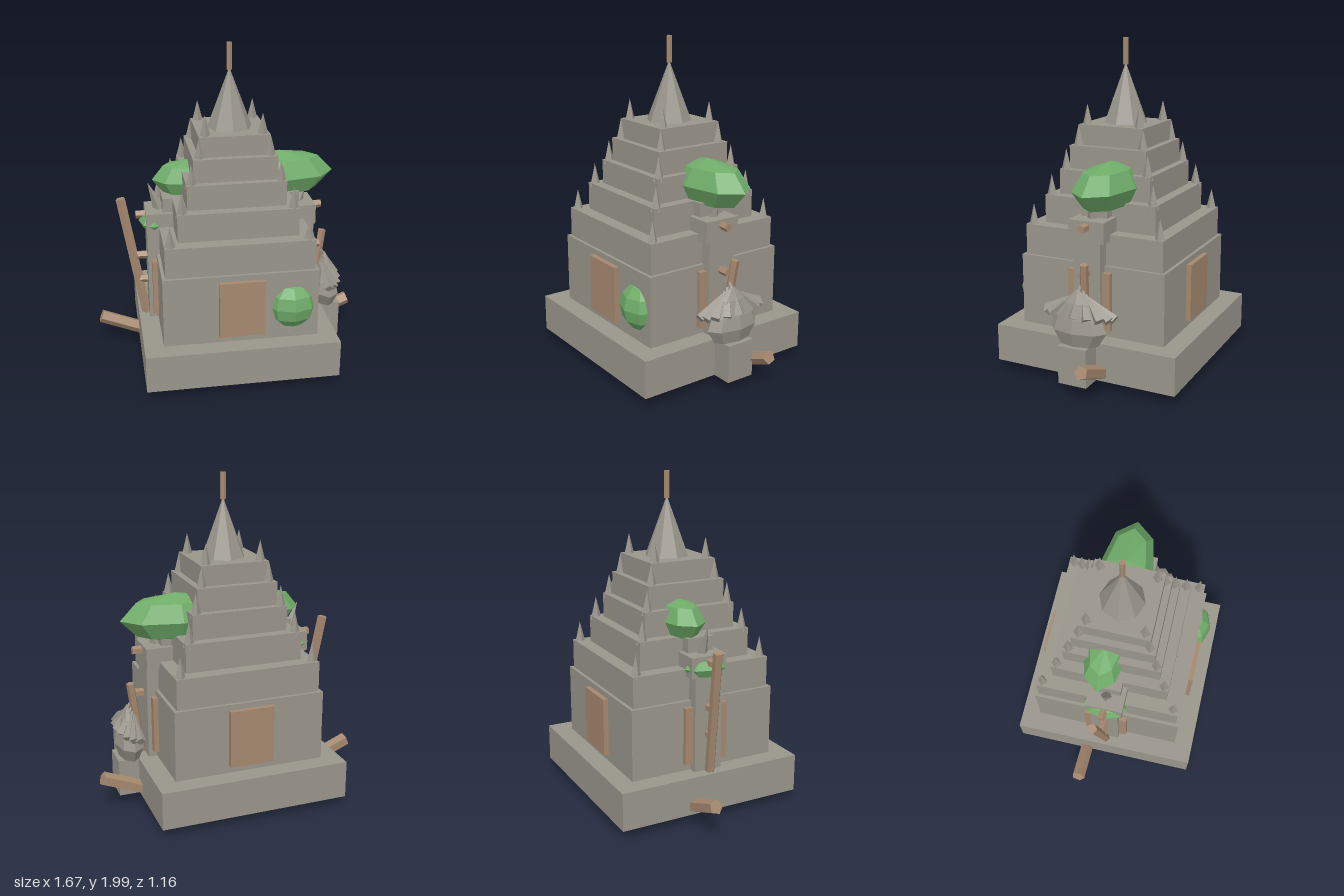
import * as THREE from 'three';

export function createModel() {
  const root = new THREE.Group();
  root.name = 'ruinedTemple';
  const mat = (name, color) => {
    const m = new THREE.MeshStandardMaterial({ color, flatShading: true });
    m.name = name;
    return m;
  };
  const stone = mat('stone', 0x99958b);
  const wood = mat('wood', 0xa5886f);
  const leaf = mat('leaf', 0x6fac69);

  const add = (name, geo, material, x = 0, y = 0, z = 0) => {
    const m = new THREE.Mesh(geo, material);
    m.name = name;
    m.position.set(x, y, z);
    root.add(m);
    return m;
  };
  // Box given by its lower and upper corners
  const box = (name, material, a, b) => add(name,
    new THREE.BoxGeometry(b[0] - a[0], b[1] - a[1], b[2] - a[2]), material,
    (a[0] + b[0]) / 2, (a[1] + b[1]) / 2, (a[2] + b[2]) / 2);
  // Tapered rod between two points
  const rod = (name, material, a, b, ra, rb = ra, sides = 5) => {
    const p = new THREE.Vector3(...a), q = new THREE.Vector3(...b);
    const d = q.clone().sub(p);
    const m = add(name, new THREE.CylinderGeometry(rb, ra, d.length(), sides), material);
    m.position.copy(p).add(q).multiplyScalar(0.5);
    m.quaternion.setFromUnitVectors(new THREE.Vector3(0, 1, 0), d.normalize());
    return m;
  };
  const blob = (name, material, c, r, rows = 4) => {
    const m = add(name, new THREE.SphereGeometry(1, 8, rows), material, ...c);
    m.scale.set(...r);
    return m;
  };

  // Plinth, body and stepped roof tiers: [half width, bottom, top]
  const block = (name, w, y0, y1) => box(name, stone, [-w, y0, -w], [w, y1, w]);
  block('plinth', 0.582, 0.07, 0.3);
  block('body', 0.465, 0.3, 0.73);
  const tiers = [
    [0.445, 0.73, 0.915, 0.41], [0.36, 0.915, 1.085, 0.33],
    [0.295, 1.085, 1.235, 0.265], [0.25, 1.235, 1.375, 0.21],
    [0.21, 1.375, 1.497, 0.17],
  ];
  for (const [w, y0, y1, s] of tiers) {
    block('roofTier', w, y0, y1);
    // Corner finials
    for (const sx of [-1, 1]) for (const sz of [-1, 1])
      add('finial', new THREE.ConeGeometry(0.037, 0.145, 4), stone, sx * s, y1 + 0.05, sz * s);
  }

  // Spire and pole
  add('spire', new THREE.ConeGeometry(0.136, 0.36, 8), stone, 0, 1.675, 0);
  add('spirePole', new THREE.CylinderGeometry(0.017, 0.017, 0.16, 6), wood, 0, 1.92, 0);

  // Doors on all four sides
  for (const s of [-1, 1]) {
    add('door', new THREE.BoxGeometry(0.272, 0.35, 0.04), wood, 0, 0.52, s * 0.475);
    add('sideDoor', new THREE.BoxGeometry(0.04, 0.35, 0.272), wood, s * 0.475, 0.52, 0);
  }

  // Side pylons with caps, upper steps, shards and pegs
  for (const s of [-1, 1]) {
    add('pylon', new THREE.BoxGeometry(0.15, 0.6, 0.175), stone, s * 0.443, 0.59, 0);
    add('pylonCap', new THREE.BoxGeometry(0.2, 0.125, 0.228), stone, s * 0.422, 0.938, 0);
    add('pylonStep', new THREE.BoxGeometry(0.12, 0.17, 0.17), stone, s * 0.36, 1.0, 0);
    rod('pylonShard', stone, [s * 0.43, 0.98, 0], [s * (s < 0 ? 0.5 : 0.475), s < 0 ? 1.165 : 1.09, 0], 0.04, 0.001, 4);
    for (const y of [0.965, 0.693])
      rod('peg', wood, [s * 0.42, y, 0], [s * 0.58, y, 0], 0.026);
    // Fallen logs beside the plinth
    rod('fallenLog', wood, [s * 0.4, 0.05, -0.12], [s * 0.82, 0.22, -0.12], 0.043);
  }
  rod('peg', wood, [-0.42, 0.53, 0], [-0.57, 0.53, 0], 0.026);

  // Leaning poles
  rod('leaningPole', wood, [-0.535, 0.3, 0.005], [-0.667, 1.06, -0.03], 0.03);
  rod('leaningStick', wood, [0.54, 0.31, 0], [0.605, 0.77, -0.03], 0.026);

  // Foliage
  blob('roofBushLeft', leaf, [0.32, 1.17, -0.05], [0.34, 0.145, 0.17]);
  blob('roofBushRight', leaf, [-0.23, 1.165, -0.05], [0.24, 0.125, 0.13]);
  blob('frontBush', leaf, [0.31, 0.5, 0.42], [0.15, 0.145, 0.122], 6);
  blob('pylonBush', leaf, [-0.475, 0.925, 0], [0.088, 0.065, 0.135]);

  // Side pedestal with bud and drooping fronds
  box('pedestal', stone, [0.56, 0.07, -0.09], [0.708, 0.3, 0.09]);
  const bud = add('bud', new THREE.LatheGeometry([
    [0, 0.3], [0.7, 0.3], [1, 0.385], [0.82, 0.46], [0.5, 0.55], [0, 0.63],
  ].map(([r, y]) => new THREE.Vector2(r, y)), 8), stone, 0.623, 0, 0);
  bud.scale.set(0.087, 1, 0.18);
  for (let i = 0; i < 9; i++) {
    const t = (i / 8 - 0.5) * Math.PI;
    const c = Math.cos(t), s = Math.sin(t);
    rod('frond', stone, [0.6 + 0.09 * c, 0.47, 0.22 * s],
      [0.59 + 0.01 * c, 0.64 - 0.07 * Math.abs(s), 0.05 * s], 0.032, 0.008, 4);
  }

  // Rubble under the plinth: [x, z, length, turn]
  for (const [x, z, len, turn] of [
    [0.2, 0.0, 0.46, 0.1], [0.1, 0.08, 0.3, 1.3], [-0.3, 0.18, 0.14, 0.9], [-0.12, -0.25, 0.12, 0.4],
  ]) {
    const m = add('rubble', new THREE.BoxGeometry(0.07, 0.025, len), stone, x, 0.06, z);
    m.rotation.set(0, turn, 0.35);
  }
  rod('buriedLog', wood, [-0.24, 0.065, 0.02], [-0.14, 0.07, -0.1], 0.04);

  return root;
}
